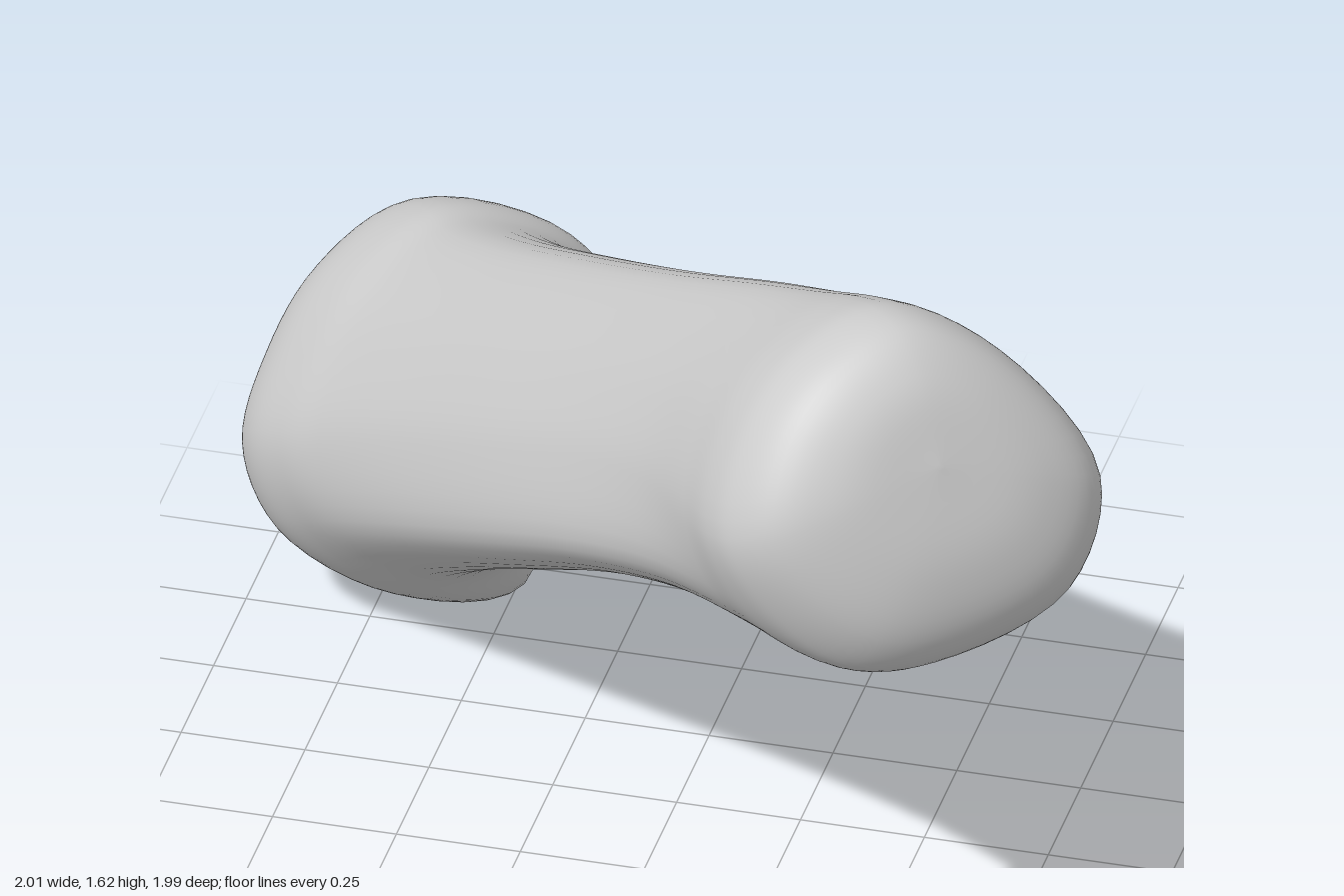
import * as THREE from 'three';

// Cross-section outlines (sideways, up) of the bone, counter-clockwise about its long axis
const BASE = [[.40, .12], [.31, .33], [.04, .47], [-.16, .40], [-.30, .26], [-.39, .09], [-.35, -.10], [-.15, -.28], [.08, -.33], [.18, -.08]];
const HEAD = [[.37, -.09], [.21, .22], [-.01, .375], [-.20, .335], [-.35, .21], [-.44, 0], [-.38, -.17], [-.23, -.33], [-.05, -.37], [.26, -.30]];
// Shaft: a tilted ellipse sampled at the same ten angles
const SHAFT = BASE.map((_, k) => {
  const angle = k * Math.PI / 5, p = angle - 0.866, a = 0.335, b = 0.184;
  const r = a * b / Math.hypot(b * Math.cos(p), a * Math.sin(p));
  return [-0.13 + r * Math.cos(angle), 0.12 + r * Math.sin(angle)];
});

// Stations along the axis: position, end outline, share of that outline, scale, tilt sideways, tilt up
const STATIONS = [
  [-1.215, BASE, 1, 0.02, .04, .12], [-1.205, BASE, 1, 0.5, .04, .12], [-1.18, BASE, 1, 0.79, .04, .12],
  [-1.13, BASE, 1, 0.93, .04, .12], [-1.05, BASE, 1, 1, .04, .12], [-0.92, BASE, 0.96, 1, .04, .12],
  [-0.78, BASE, 0.6, 1, .03, .06], [-0.55, BASE, 0.33, 1, 0, 0], [-0.2, BASE, 0.14, 1, 0, 0],
  [0.25, HEAD, 0.02, 1, 0, 0], [0.58, HEAD, 0.22, 1, 0, 0], [0.83, HEAD, 0.66, 1, 0, 0],
  [0.98, HEAD, 0.9, 1, .05, .06], [1.08, HEAD, 1, 0.96, .1, .1], [1.165, HEAD, 1, 0.82, .1, .1],
  [1.22, HEAD, 1, 0.5, .1, .1], [1.235, HEAD, 1, 0.02, .1, .1],
];

// Direction of the bone: sideways, up and along
const SIDE = new THREE.Vector3(0.707, 0, -0.707);
const UP = new THREE.Vector3(-0.314, 0.896, -0.314);
const ALONG = new THREE.Vector3(0.634, 0.444, 0.634);

// One station point as (sideways, up, along)
function stationPoint([a, outline, share, scale, tiltS, tiltT], k) {
  const cs = -0.04, ct = 0.05;
  const s = cs + scale * (THREE.MathUtils.lerp(SHAFT[k][0], outline[k][0], share) - cs);
  const t = ct + scale * (THREE.MathUtils.lerp(SHAFT[k][1], outline[k][1], share) - ct);
  return new THREE.Vector3(s, t, a + tiltS * s + tiltT * t);
}

// Smooth skin over lengthwise rails, with a closed curve through each ring
function boneGeometry(rows, cols) {
  const rails = SHAFT.map((_, k) => new THREE.CatmullRomCurve3(STATIONS.map(st => stationPoint(st, k))));
  const positions = [], index = [];
  for (let i = 0; i <= rows; i++) {
    const ring = new THREE.CatmullRomCurve3(rails.map(r => r.getPoint(i / rows)), true);
    for (let j = 0; j < cols; j++) {
      const p = ring.getPoint(j / cols);
      const v = new THREE.Vector3(0, 0.8, 0).addScaledVector(SIDE, p.x).addScaledVector(UP, p.y).addScaledVector(ALONG, p.z);
      positions.push(v.x, v.y, v.z);
      if (i === rows) continue;
      const a = i * cols + j, b = i * cols + (j + 1) % cols;
      index.push(a, b, b + cols, a, b + cols, a + cols);
    }
  }
  // Close the two tiny end rings
  const last = rows * cols;
  for (let j = 1; j < cols - 1; j++) index.push(0, j + 1, j, last, last + j, last + j + 1);
  const g = new THREE.BufferGeometry();
  g.setAttribute('position', new THREE.Float32BufferAttribute(positions, 3));
  g.setIndex(index);
  g.computeVertexNormals();
  return g;
}

export function createModel() {
  const group = new THREE.Group();
  group.name = 'bone';
  const bone = new THREE.Mesh(boneGeometry(96, 60), new THREE.MeshStandardMaterial({ color: 0xcccccc }));
  bone.name = 'boneShaftWithEnds';
  group.add(bone);
  return group;
}
